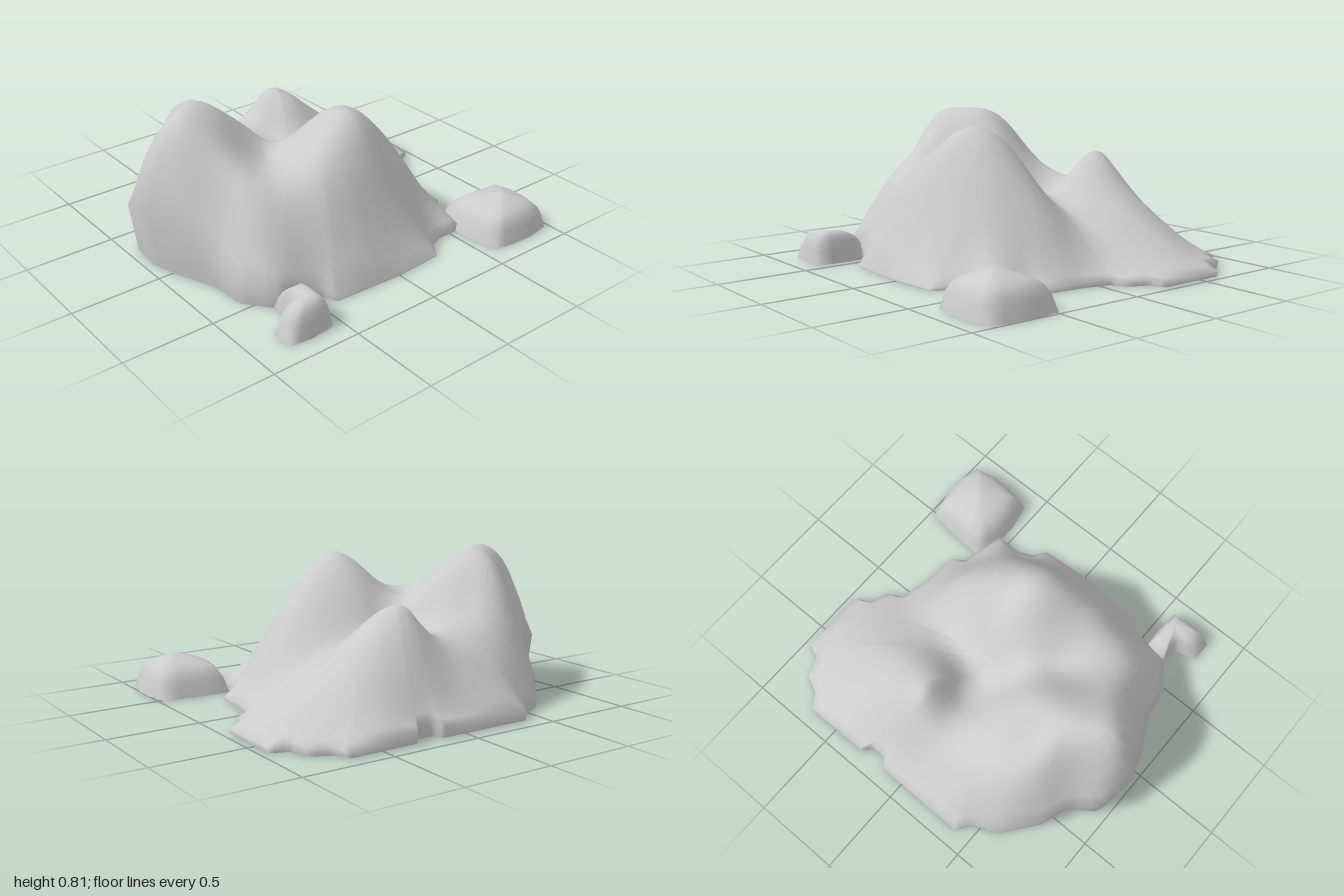
import * as THREE from 'three';

// Foot of the main rock: x, z and the height where the steep lower edge begins
const FOOT = [
  [-0.4, -0.91, 0.04], [-0.13, -0.91, 0.05], [0.13, -0.91, 0.06], [0.17, -0.86, 0.08], [0.26, -0.86, 0.08], [0.3, -0.91, 0.06],
  [0.68, -0.91, 0.03], [0.73, -0.83, 0.04], [0.83, -0.78, 0.04], [0.87, -0.67, 0.05], [0.96, -0.63, 0.03],
  [0.96, -0.25, 0.03], [0.88, -0.21, 0.04], [0.83, -0.1, 0.03], [0.75, -0.06, 0.04], [0.71, 0.1, 0.03],
  [0.69, 0.32, 0.02], [0.61, 0.36, 0.05], [0.59, 0.45, 0.06], [0.55, 0.61, 0.05], [0.42, 0.61, 0.03],
  [0.33, 0.65, 0.03], [0.28, 0.73, 0.01], [0, 0.75, 0.01], [-0.4, 0.73, 0.01], [-0.45, 0.66, 0.06],
  [-0.56, 0.62, 0.1], [-0.69, 0.6, 0.1], [-0.81, 0.45, 0.1], [-0.84, 0.25, 0.2], [-0.94, 0.04, 0.3],
  [-1, -0.14, 0.34], [-0.97, -0.33, 0.28], [-0.83, -0.43, 0.24], [-0.76, -0.58, 0.12], [-0.6, -0.77, 0.05], [-0.46, -0.83, 0.06],
];

// Spot heights on the three summits, the saddles and the slopes: x, z, y
const SPOTS = [
  // tall rounded summit
  [-0.67, -0.22, 0.8], [-0.86, -0.17, 0.72], [-0.95, -0.14, 0.56], [-0.5, -0.17, 0.76], [-0.31, -0.2, 0.61],
  [-0.64, -0.41, 0.69], [-0.62, -0.56, 0.46], [-0.38, -0.44, 0.54], [-0.66, -0.09, 0.78], [-0.68, 0.08, 0.67],
  [-0.66, 0.28, 0.51], [-0.5, 0.06, 0.6], [-0.33, 0.05, 0.52], [-0.88, 0.02, 0.54], [-0.81, 0.17, 0.41],
  // front summit
  [0, 0.22, 0.77], [0, 0.06, 0.67], [0.04, -0.05, 0.53], [0.1, 0.2, 0.74], [0, 0.4, 0.69],
  [-0.18, 0.28, 0.66], [-0.33, 0.25, 0.56], [-0.5, 0.25, 0.54], [0.34, 0.2, 0.5], [0.48, 0.15, 0.33],
  [0.3, 0.4, 0.43], [0, 0.57, 0.33], [-0.3, 0.5, 0.46], [-0.5, 0.45, 0.41], [-0.68, 0.42, 0.35], [0.5, 0.5, 0.13],
  // rear spur
  [0.1, -0.54, 0.59], [0.11, -0.38, 0.52], [0.27, -0.33, 0.44], [0.3, -0.52, 0.47], [0.48, -0.4, 0.33], [0.72, -0.42, 0.17],
  [0, -0.52, 0.47], [0.02, -0.38, 0.41], [-0.18, -0.46, 0.44], [-0.15, -0.22, 0.43], [0, -0.17, 0.38], [0.2, -0.17, 0.34], [0.42, -0.14, 0.26],
  // rear slopes
  [-0.2, -0.68, 0.34], [0.12, -0.67, 0.42], [0, -0.82, 0.14], [-0.42, -0.7, 0.3], [0.45, -0.7, 0.24], [0.7, -0.65, 0.13],
];

// Smooth surface through scattered heights (thin-plate spline)
function fitSurface(points) {
  const n = points.length, m = n + 3;
  const kernel = (dx, dz) => {
    const r2 = dx * dx + dz * dz;
    return r2 < 1e-10 ? 0 : r2 * Math.log(r2);
  };
  const rows = points.map(([x, z, h], i) => {
    const row = points.map(([px, pz], j) => kernel(x - px, z - pz) + (i === j ? 0.001 : 0));
    return [...row, 1, x, z, h];
  });
  for (let k = 0; k < 3; k++) {
    rows.push([...points.map((p) => [1, p[0], p[1]][k]), 0, 0, 0, 0]);
  }
  for (let c = 0; c < m; c++) {
    let best = c;
    for (let r = c + 1; r < m; r++) if (Math.abs(rows[r][c]) > Math.abs(rows[best][c])) best = r;
    [rows[c], rows[best]] = [rows[best], rows[c]];
    for (let r = 0; r < m; r++) {
      if (r === c) continue;
      const f = rows[r][c] / rows[c][c];
      for (let k = c; k <= m; k++) rows[r][k] -= f * rows[c][k];
    }
  }
  const w = rows.map((row, i) => row[m] / row[i]);
  return (x, z) => points.reduce((sum, p, i) => sum + w[i] * kernel(x - p[0], z - p[1]), w[n] + w[n + 1] * x + w[n + 2] * z);
}

// Open-bottomed mound: rings shrink from the outline to the centre
function mound(name, outline, [cx, cz], rings, split, heightAt, undercut) {
  const spokes = [];
  outline.forEach((a, i) => {
    const b = outline[(i + 1) % outline.length];
    for (let s = 0; s < split; s++) spokes.push(a.map((v, k) => v + (b[k] - v) * (s / split)));
  });
  const n = spokes.length, pos = [cx, heightAt(cx, cz, 0), cz], index = [];
  const last = undercut > 0 ? rings + 1 : rings;
  for (let r = 1; r <= last; r++) {
    const t = Math.min(r / rings, 1);
    for (const [sx, sz, rim = 0] of spokes) {
      const base = r > rings;
      const k = base ? 1 - undercut * rim : t;
      const x = cx + (sx - cx) * k, z = cz + (sz - cz) * k;
      const y = base ? 0 : t === 1 ? rim : Math.max(heightAt(x, z, t), 0.02);
      pos.push(x, y, z);
    }
  }
  for (let i = 0; i < n; i++) {
    const j = (i + 1) % n;
    index.push(0, 1 + j, 1 + i);
    for (let r = 0; r < last - 1; r++) {
      const a = 1 + r * n + i, b = 1 + r * n + j;
      index.push(a, b, a + n, b, b + n, a + n);
    }
  }
  const geometry = new THREE.BufferGeometry();
  geometry.setAttribute('position', new THREE.Float32BufferAttribute(pos, 3));
  geometry.setIndex(index);
  geometry.computeVertexNormals();
  const mesh = new THREE.Mesh(geometry, new THREE.MeshStandardMaterial({ color: 0xcccccc, side: THREE.DoubleSide }));
  mesh.name = name;
  return mesh;
}

export function createModel() {
  const group = new THREE.Group();
  group.name = 'rockFormation';

  // Main three-peaked rock
  const surface = fitSurface([...SPOTS, ...FOOT]);
  group.add(mound('mainRock', FOOT, [0, -0.1], 22, 3, surface, 0.14));

  // Squarish boulder at the front left corner
  const boulder = [[0.59, 0.45], [0.8, 0.46], [0.97, 0.48], [1, 0.62], [1, 0.74], [0.97, 0.88], [0.83, 0.905], [0.7, 0.9], [0.58, 0.88], [0.55, 0.74], [0.55, 0.6]];
  group.add(mound('leftBoulder', boulder, [0.79, 0.71], 10, 2, (x, z, t) => 0.208 * (1 - 0.4 * t ** 1.2 - 0.6 * t ** 8), 0));

  // Small stepped stone at the front right corner
  const stone = [[-0.69, 0.58], [-0.56, 0.58], [-0.545, 0.72], [-0.56, 0.88], [-0.7, 0.895], [-0.82, 0.88], [-0.82, 0.76], [-0.71, 0.73], [-0.69, 0.66]];
  group.add(mound('rightStone', stone, [-0.62, 0.79], 8, 2, (x, z, t) => 0.175 * (1 - 0.2 * t ** 1.5 - 0.8 * t ** 5), 0));

  return group;
}
